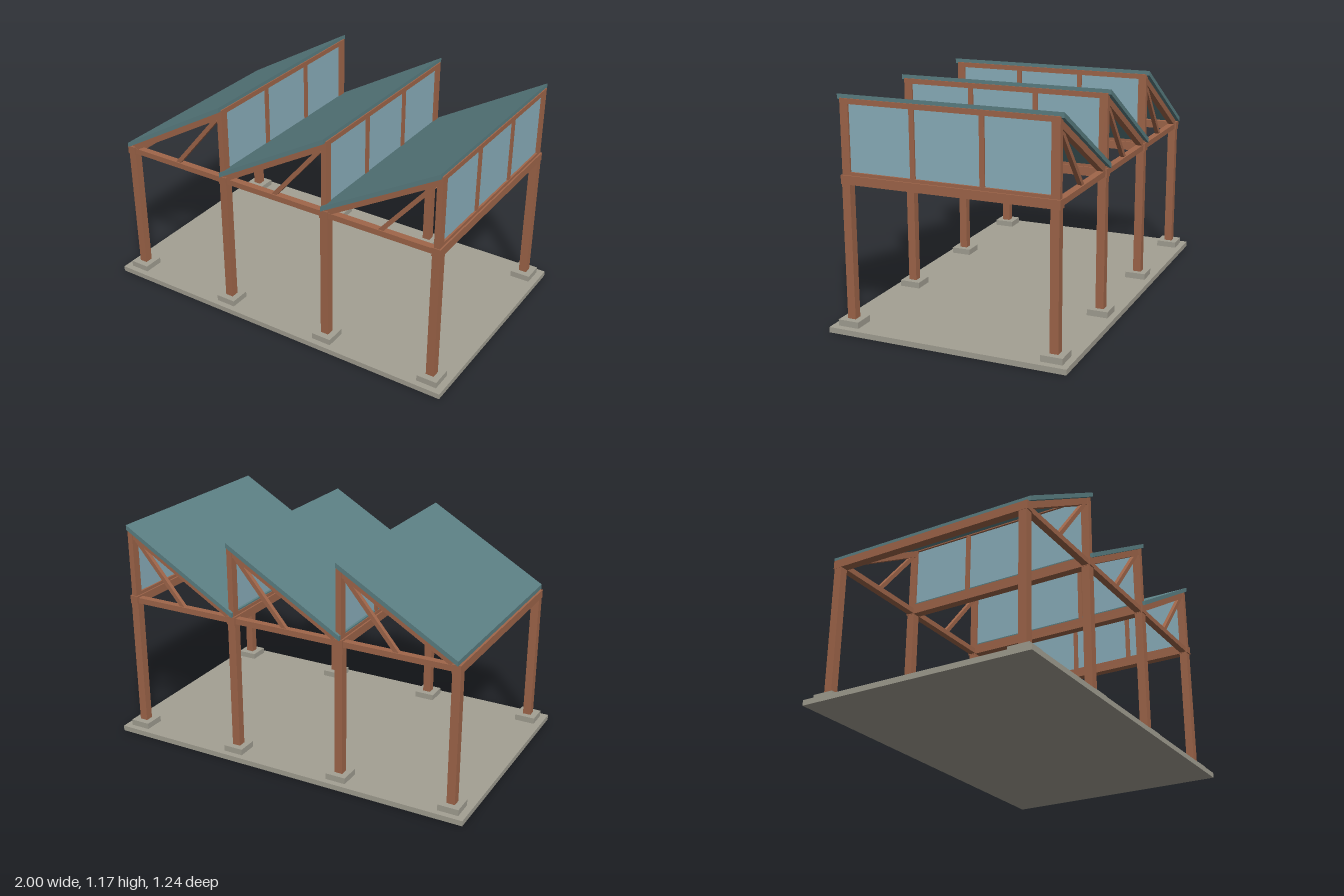
import * as THREE from 'three';

const mat = (color, extra = {}) => new THREE.MeshStandardMaterial({ color, ...extra });

export function createModel() {
  const model = new THREE.Group();
  model.name = 'sawtoothRoofPavilion';
  const wood = mat(0xa0664a), concrete = mat(0xa3a093);
  const roofing = mat(0x5b7f83), glass = mat(0x8bb0bd);

  const add = (parent, name, geometry, material) => {
    const mesh = new THREE.Mesh(geometry, material);
    mesh.name = name;
    parent.add(mesh);
    return mesh;
  };
  // Box given by its size and centre
  const box = (parent, name, [w, h, d], [x, y, z], material) => {
    const mesh = add(parent, name, new THREE.BoxGeometry(w, h, d), material);
    mesh.position.set(x, y, z);
    return mesh;
  };
  // Outline in x and y, extruded along z about centre z
  const plate = (parent, name, points, depth, z, material) => {
    const shape = new THREE.Shape(points.map(([x, y]) => new THREE.Vector2(x, y)));
    const geometry = new THREE.ExtrudeGeometry(shape, { depth, bevelEnabled: false });
    add(parent, name, geometry.translate(0, 0, -depth / 2), material).position.z = z;
  };

  const columns = [-0.911, -0.304, 0.304, 0.911];
  const sideZ = 0.533;
  const eave = 0.784, ridge = 1.153;

  box(model, 'floorSlab', [2, 0.028, 1.24], [0, 0.014, 0], concrete);

  // Footings, posts and the cross beams joining each pair
  columns.forEach((x) => {
    const frame = new THREE.Group();
    frame.name = 'postFrame';
    model.add(frame);
    for (const z of [-sideZ, sideZ]) {
      box(frame, 'footing', [0.108, 0.032, 0.11], [x, 0.044, z], concrete);
      box(frame, 'post', [0.043, 0.7, 0.043], [x, 0.41, z], wood);
    }
    box(frame, 'crossBeam', [0.045, 0.044, 1.12], [x, 0.762, 0], wood);
  });

  // Long tie beams on both sides
  for (const z of [-sideZ, sideZ]) {
    box(model, 'tieBeam', [1.86, 0.03, 0.036], [0, 0.76, z], wood);
  }

  // Three sawtooth bays
  for (let i = 0; i < 3; i++) {
    const bay = new THREE.Group();
    bay.name = 'sawtoothBay';
    model.add(bay);
    const x0 = columns[i], x1 = columns[i + 1];
    const left = x0 - 0.011, right = x1 + 0.009;
    const low = 0.783, high = 1.147;
    const under = (x) => low + (x - left) * (high - low) / (right - left);

    // Sloping roof panel
    plate(bay, 'roofPanel', [[left, low], [right, high], [right, high + 0.025],
      [left, low + 0.025]], 1.14, 0, roofing);

    for (const z of [-sideZ, sideZ]) {
      // Rafter under the roof edge and the diagonal brace below it
      const a = x0 + 0.002, b = x1 - 0.005, drop = 0.038;
      plate(bay, 'rafter', [[a, under(a) - drop], [b, under(b) - drop],
        [b, under(b)], [a, under(a)]], 0.034, z, wood);
      const dx = 0.275, dy = 0.325;
      const brace = box(bay, 'brace', [Math.hypot(dx, dy), 0.022, 0.022],
        [x1 - 0.306 + dx / 2, 0.765 + dy / 2, z], wood);
      brace.rotation.z = Math.atan2(dy, dx);
      // Upright carrying the ridge
      box(bay, 'windowPost', [0.029, ridge - eave, 0.043], [x1, (ridge + eave) / 2, z], wood);
    }

    // Clerestory window
    box(bay, 'windowHead', [0.029, 0.026, 1.1], [x1, ridge - 0.013, 0], wood);
    box(bay, 'windowSill', [0.029, 0.018, 1.06], [x1, eave + 0.007, 0], wood);
    for (const z of [-0.177, 0.177]) {
      box(bay, 'mullion', [0.026, 0.34, 0.025], [x1, 0.965, z], wood);
    }
    for (const z of [-0.35, 0, 0.35]) {
      box(bay, 'windowPane', [0.008, 0.335, 0.332], [x1, 0.964, z], glass);
    }
  }
  return model;
}
